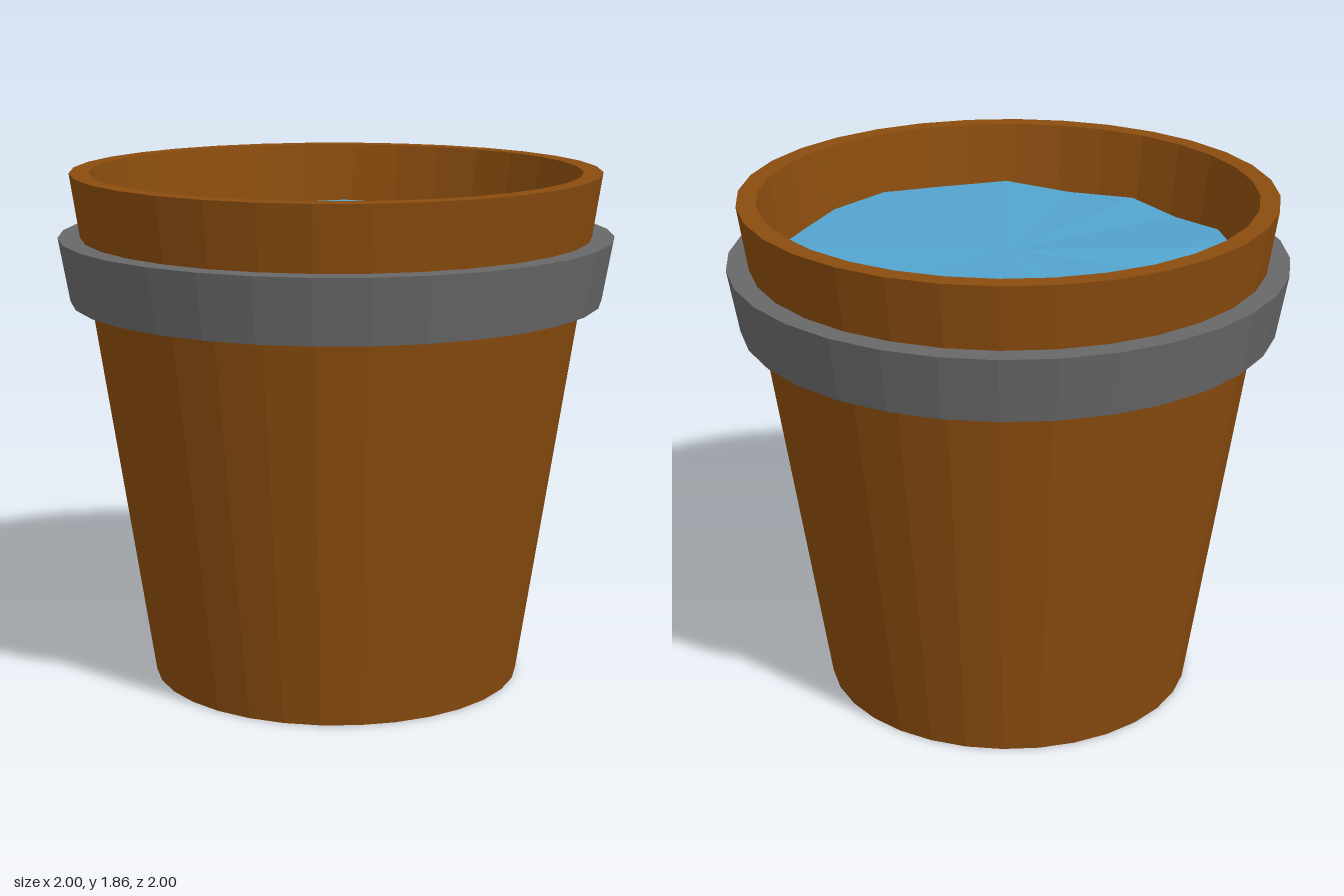
import * as THREE from 'three';

const SIDES = 32;

const wood = new THREE.MeshStandardMaterial({ color: 0x8a4c0e, flatShading: true });
wood.name = 'brown wood';
const iron = new THREE.MeshStandardMaterial({ color: 0x686868, flatShading: true });
iron.name = 'grey iron';
const blue = new THREE.MeshStandardMaterial({ color: 0x52a3ce, flatShading: true, side: THREE.DoubleSide });
blue.name = 'water blue';

// Turn a [radius, height] profile into a faceted ring or vessel
function turned(name, profile, material) {
  const points = profile.map(([r, y]) => new THREE.Vector2(r, y));
  const mesh = new THREE.Mesh(new THREE.LatheGeometry(points, SIDES), material);
  mesh.name = name;
  return mesh;
}

// Slightly uneven water disc: edge radius and height vary every 18 degrees
function waterSurface() {
  const radii = [0.8, 0.81, 0.8, 0.82, 0.78, 0.82, 0.8, 0.8, 0.81, 0.78,
    0.82, 0.778, 0.82, 0.79, 0.8, 0.8, 0.78, 0.82, 0.777, 0.82];
  const lifts = [-0.02, -0.01, 0, -0.01, -0.02, 0, -0.03, 0.01, -0.01, -0.03,
    -0.02, -0.02, 0, 0, 0.01, 0, 0, 0.01, -0.01, -0.02];
  const geometry = new THREE.CircleGeometry(1, radii.length).rotateX(-Math.PI / 2);
  const pos = geometry.attributes.position;
  for (let i = 1; i < pos.count; i++) {
    const k = (i - 1) % radii.length;
    pos.setXYZ(i, pos.getX(i) * radii[k], lifts[k], pos.getZ(i) * radii[k]);
  }
  geometry.computeVertexNormals();
  const mesh = new THREE.Mesh(geometry, blue);
  mesh.name = 'water';
  mesh.position.y = 1.65;
  return mesh;
}

export function createModel() {
  const group = new THREE.Group();
  group.name = 'bucket of water';

  // Tapered vessel with thick wall, flat rim and inner floor
  group.add(turned('bucket', [
    [0, 0], [0.675, 0], [0.955, 1.86], [0.885, 1.86], [0.62, 0.1], [0, 0.1],
  ], wood));

  // Metal hoop around the upper wall
  group.add(turned('band', [
    [0.87, 1.4], [0.96, 1.4], [1, 1.63], [0.905, 1.63], [0.87, 1.4],
  ], iron));

  group.add(waterSurface());
  return group;
}
